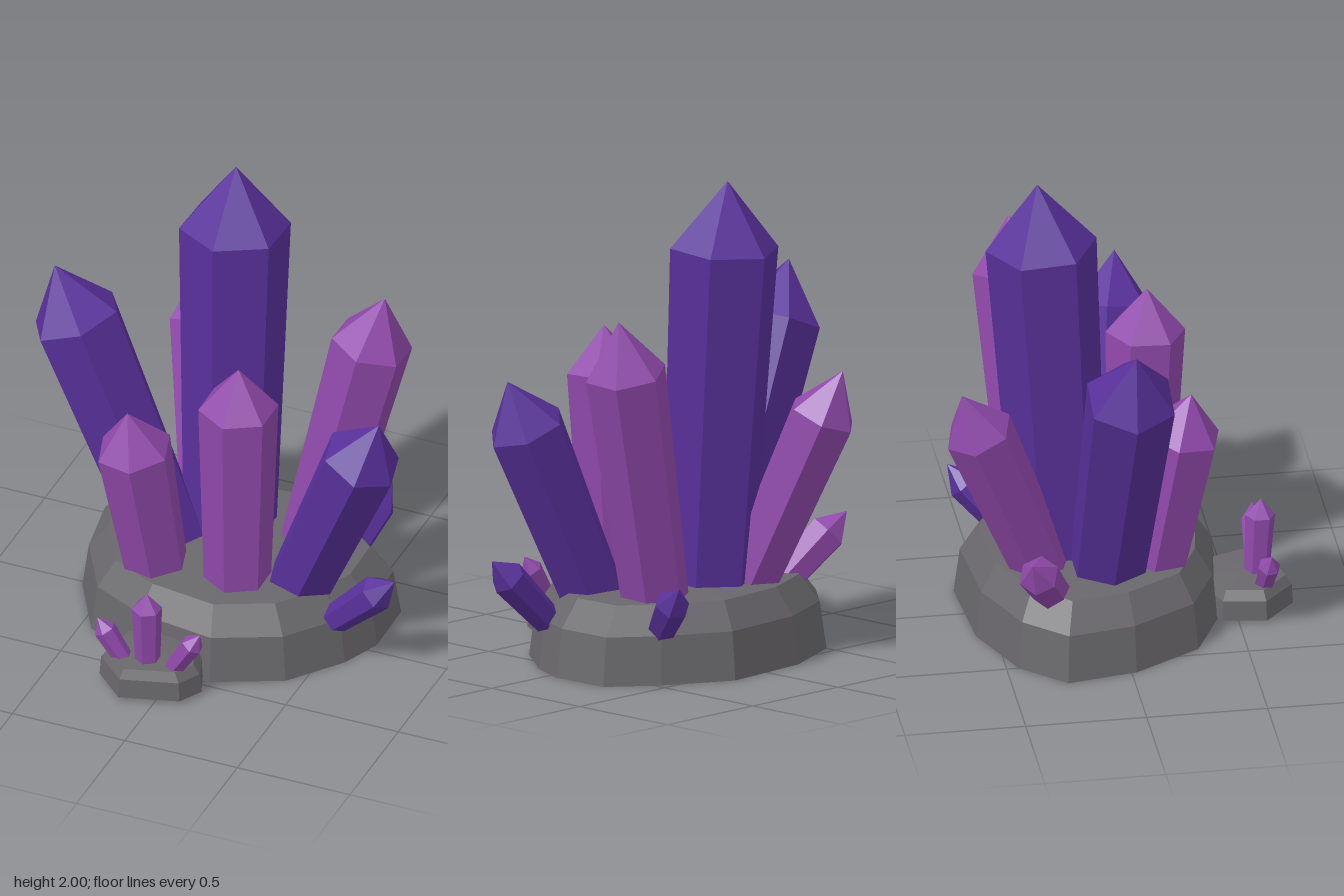
import * as THREE from 'three';

const mat = (name, color) => {
  const m = new THREE.MeshStandardMaterial({ color });
  m.name = name;
  return m;
};

// Closed faceted solid lofted through matching rings, capped by a point at each end
function loft(rings, bottom, top) {
  const out = [];
  const tri = (...pts) => pts.forEach((p) => out.push(p.x, p.y, p.z));
  const n = rings[0].length;
  const last = rings[rings.length - 1];
  for (let i = 0; i < n; i++) {
    const j = (i + 1) % n;
    tri(bottom, rings[0][j], rings[0][i]);
    for (let k = 0; k < rings.length - 1; k++) {
      const a = rings[k], b = rings[k + 1];
      tri(a[i], a[j], b[j]);
      tri(a[i], b[j], b[i]);
    }
    tri(last[i], last[j], top);
  }
  const g = new THREE.BufferGeometry();
  g.setAttribute('position', new THREE.Float32BufferAttribute(out, 3));
  g.computeVertexNormals(); // unshared corners keep every facet flat
  return g;
}

// Six-sided crystal that widens from base to shoulder, then closes to an apex along its axis
function crystal(base, shoulder, radius, tip, spin) {
  const axis = shoulder.clone().sub(base).normalize();
  const u = new THREE.Vector3(0, 0, 1).addScaledVector(axis, -axis.z).normalize();
  const v = axis.clone().cross(u);
  const ring = (c, r) => Array.from({ length: 6 }, (_, i) => {
    const t = THREE.MathUtils.degToRad(spin + i * 60);
    return c.clone().addScaledVector(u, r * Math.cos(t)).addScaledVector(v, r * Math.sin(t));
  });
  const apex = shoulder.clone().addScaledVector(axis, tip);
  return loft([ring(base, radius * 0.82), ring(shoulder, radius)], base, apex);
}

// Rock with a bevelled rim: outline scaled about its centre at each level [y, scale]
function rock(outline, cx, cz, levels, topY) {
  const rings = levels.map(([y, k]) => outline.map(([x, z]) =>
    new THREE.Vector3(cx + (x - cx) * k, y, cz + (z - cz) * k)));
  return loft(rings, new THREE.Vector3(cx, levels[0][0], cz), new THREE.Vector3(cx, topY, cz));
}

export function createModel() {
  const group = new THREE.Group();
  const stone = mat('grey stone', 0x69676b);
  const violet = mat('deep violet', 0x58309a);
  const orchid = mat('orchid purple', 0x9049ab);

  const add = (name, geometry, material) => {
    const mesh = new THREE.Mesh(geometry, material);
    mesh.name = name;
    group.add(mesh);
  };

  // Rocks
  add('mainRock', rock([
    [0.15, 0.47], [0.43, 0.34], [0.6, 0.12], [0.67, -0.05], [0.665, -0.31], [0.48, -0.46],
    [0.2, -0.61], [-0.2, -0.58], [-0.5, -0.45], [-0.66, -0.27], [-0.61, 0.02], [-0.45, 0.3], [-0.2, 0.42],
  ], 0, -0.07, [[0, 1], [0.2, 0.955], [0.315, 0.82]], 0.34), stone);
  add('smallRock', rock([
    [-0.14, 0.74], [0.1, 0.67], [0.155, 0.57], [0.1, 0.42], [-0.08, 0.36], [-0.25, 0.43], [-0.28, 0.61],
  ], -0.07, 0.56, [[0.015, 1], [0.1, 0.97], [0.14, 0.84]], 0.15), stone);

  // Plants one crystal with its foot at (x, footY, z)
  const plant = (footY) => ([name, material, x, z, shoulder, radius, tip, spin]) => add(
    name,
    crystal(new THREE.Vector3(x, footY, z), new THREE.Vector3(...shoulder), radius, tip, spin),
    material,
  );

  // Main rock crystals: name, colour, foot x, foot z, shoulder, radius, tip length, spin
  [
    ['tallCrystal', violet, -0.05, -0.2, [-0.065, 1.72, -0.29], 0.23, 0.28, 0],
    ['rightLeaningCrystal', violet, -0.22, -0.05, [-0.65, 1.29, -0.01], 0.193, 0.25, 30],
    ['leftLeaningCrystal', violet, 0.33, 0.03, [0.675, 1.02, 0.12], 0.167, 0.22, 15],
    ['backLeftCrystal', orchid, 0.28, -0.25, [0.535, 1.29, -0.31], 0.17, 0.23, 0],
    ['frontCrystal', orchid, 0.13, 0.14, [0.15, 1.17, 0.175], 0.165, 0.19, 0],
  ].forEach(plant(0.2));

  // Shorter crystals around the rim
  [
    ['frontRightCrystal', orchid, -0.21, 0.15, [-0.275, 0.91, 0.265], 0.16, 0.19, 15],
    ['backRightCrystal', orchid, -0.17, -0.27, [-0.335, 1.02, -0.59], 0.145, 0.21, 15],
    ['smallRightCrystal', orchid, -0.345, -0.255, [-0.58, 0.465, -0.38], 0.085, 0.115, 15],
    ['smallLeftCrystal', violet, 0.555, 0.113, [0.755, 0.4, 0.145], 0.077, 0.115, 20],
    ['smallBackCrystal', violet, 0.42, -0.395, [0.475, 0.345, -0.52], 0.073, 0.11, 0],
  ].forEach(plant(0.2));

  // Tiny crystals on the small rock
  [
    ['tinyMiddleCrystal', orchid, -0.07, 0.6, [-0.067, 0.395, 0.615], 0.062, 0.072, 0],
    ['tinyRightCrystal', orchid, -0.16, 0.61, [-0.25, 0.25, 0.625], 0.047, 0.062, 10],
    ['tinyLeftCrystal', orchid, 0.03, 0.605, [0.135, 0.27, 0.615], 0.047, 0.066, 10],
  ].forEach(plant(0.1));

  return group;
}
